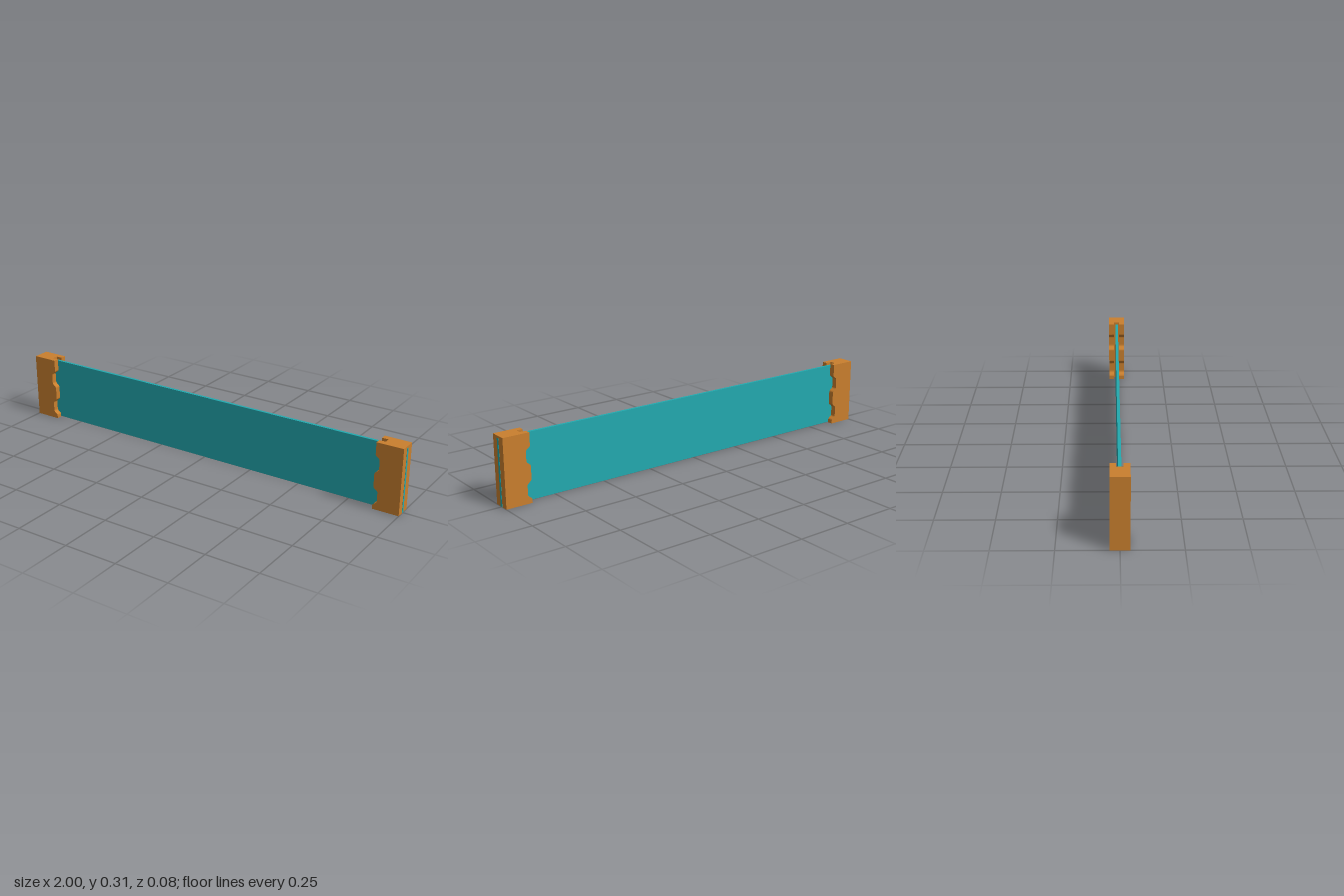
import * as THREE from 'three';

export function createModel() {
  const group = new THREE.Group();
  const wood = new THREE.MeshStandardMaterial({ color: 0xc97f2e });
  wood.name = 'orange brown';
  const teal = new THREE.MeshStandardMaterial({ color: 0x23a9af });
  teal.name = 'teal';

  const add = (parent, name, geometry, material, x = 0, y = 0, z = 0) => {
    const mesh = new THREE.Mesh(geometry, material);
    mesh.name = name;
    mesh.position.set(x, y, z);
    parent.add(mesh);
  };

  const height = 0.31, halfDepth = 0.04, halfSlot = 0.014;
  const outer = 1, crest = 0.877, dip = 0.897, slotFloor = 0.907;

  // Scalloped side of a handle: alternating flat crests and dips joined by S-curves
  const cheekShape = (side) => {
    const s = new THREE.Shape();
    s.moveTo(side * outer, 0);
    s.lineTo(side * outer, height);
    s.lineTo(side * crest, height);
    const steps = [[0.255, 0.23, dip], [0.19, 0.162, crest],
      [0.107, 0.08, dip], [0.04, 0.015, crest]];
    let from = crest;
    for (const [y0, y1, to] of steps) {
      const mid = (y0 + y1) / 2;
      s.lineTo(side * from, y0);
      s.bezierCurveTo(side * from, mid, side * to, mid, side * to, y1);
      from = to;
    }
    s.lineTo(side * crest, 0);
    s.closePath();
    return s;
  };

  // Slotted handles at both ends
  for (const side of [1, -1]) {
    const handle = new THREE.Group();
    handle.name = side > 0 ? 'leftHandle' : 'rightHandle';
    const cheek = new THREE.ExtrudeGeometry(cheekShape(side),
      { depth: halfDepth - halfSlot, bevelEnabled: false, curveSegments: 8 });
    add(handle, 'frontCheek', cheek, wood, 0, 0, halfSlot);
    add(handle, 'backCheek', cheek, wood, 0, 0, -halfDepth);
    add(handle, 'handleCore', new THREE.BoxGeometry(outer - slotFloor, height, 2 * halfSlot),
      wood, side * (outer + slotFloor) / 2, height / 2, 0);
    group.add(handle);
  }

  // Thin blade held in the slots
  add(group, 'blade', new THREE.BoxGeometry(2 * slotFloor, 0.3, 0.013), teal, 0, 0.15, 0);

  // Blade end showing flush in one handle
  add(group, 'bladeEnd', new THREE.BoxGeometry(0.002, 0.3, 0.013), teal, outer, 0.15, 0.001);

  return group;
}
